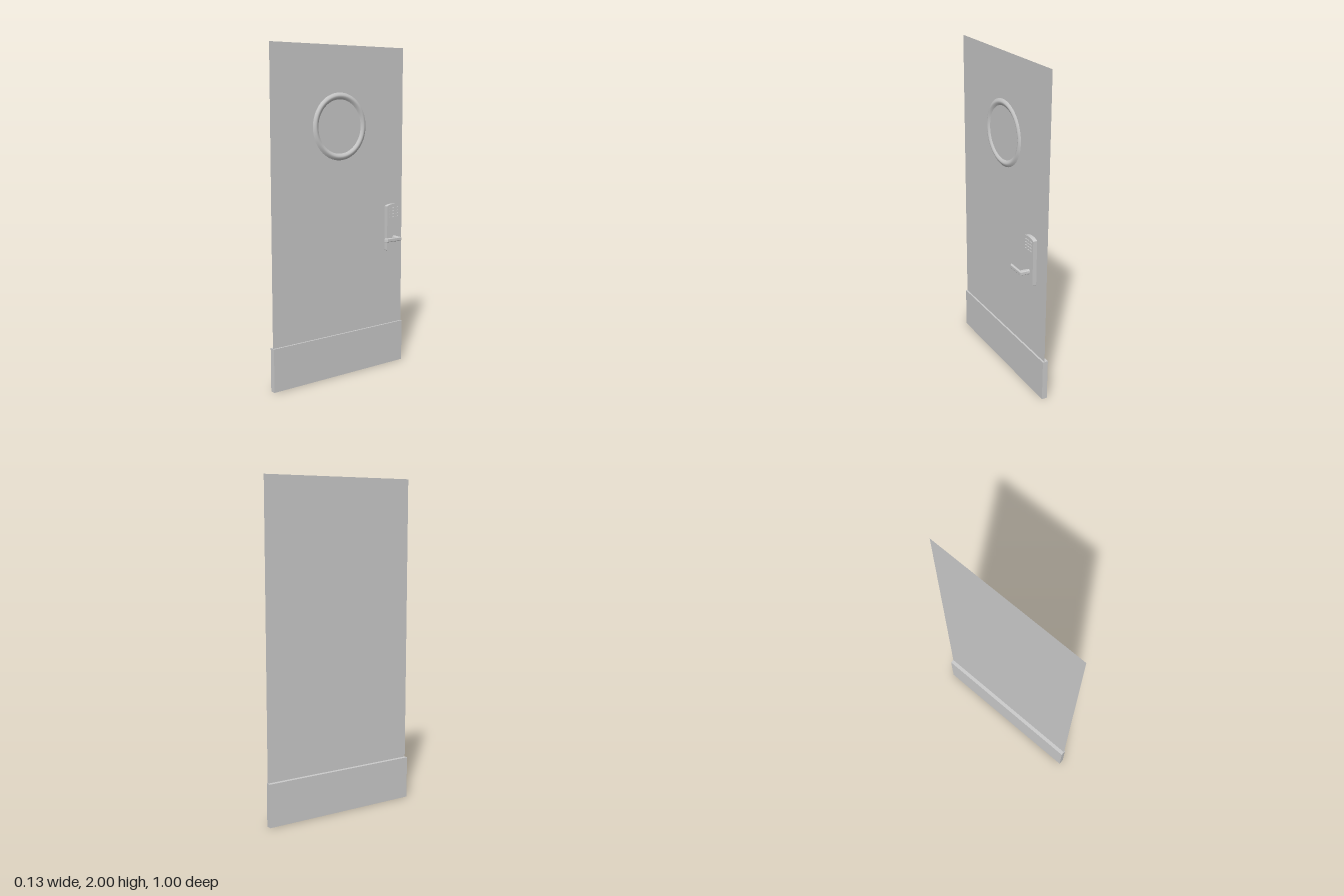
import * as THREE from 'three';

const grey = new THREE.MeshStandardMaterial({ color: 0xcccccc });
const sheetGrey = new THREE.MeshStandardMaterial({ color: 0xcccccc, side: THREE.DoubleSide });

const DOOR_X = -0.047;

function part(name, geometry, x = 0, y = 0, z = 0, material = grey) {
  const mesh = new THREE.Mesh(geometry, material);
  mesh.name = name;
  mesh.position.set(x, y, z);
  return mesh;
}

// Lock plate outline, facing +x, with an arched top and rounded corners
function plateGeometry() {
  const s = new THREE.Shape();
  const w = 0.05, r = 0.006, low = 0.746, high = 1.029;
  s.moveTo(-w + r, low);
  s.lineTo(w - r, low);
  s.quadraticCurveTo(w, low, w, low + r);
  s.lineTo(w, high - r);
  s.quadraticCurveTo(w, high, w - r, high + 0.001);
  s.quadraticCurveTo(0, 1.045, -w + r, high + 0.001);
  s.quadraticCurveTo(-w, high, -w, high - r);
  s.lineTo(-w, low + r);
  s.quadraticCurveTo(-w, low, -w + r, low);
  return new THREE.ExtrudeGeometry(s, { depth: 0.025, bevelEnabled: false, curveSegments: 10 })
    .rotateY(Math.PI / 2);
}

// L-shaped lever seen from above, with rounded upper and lower edges
function leverGeometry() {
  const b = 0.005;
  const outline = [
    [0.004, 0.404], [0.065, 0.397], [0.065, 0.285],
    [0.05, 0.268], [0.05, 0.372], [0.004, 0.376],
  ].map(([x, z]) => new THREE.Vector2(x, z)).reverse();
  return new THREE.ExtrudeGeometry(new THREE.Shape(outline), {
    depth: 0.014, bevelThickness: b, bevelSize: b, bevelOffset: -b, bevelSegments: 4,
  }).rotateX(-Math.PI / 2);
}

export function createModel() {
  const model = new THREE.Group();
  model.name = 'door';

  // Thin door leaf and the thicker kick plate wrapped round its foot
  model.add(part('doorLeaf', new THREE.PlaneGeometry(1, 2).rotateY(Math.PI / 2), DOOR_X, 1, 0, sheetGrey));
  model.add(part('kickPlate', new THREE.BoxGeometry(0.034, 0.26, 1), -0.053, 0.13, 0));

  // Raised round moulding
  const profile = [[0.2, 0], [0.192, 0.005], [0.184, 0.0095], [0.176, 0.0095], [0.168, 0.005], [0.16, 0]]
    .map(([r, h]) => new THREE.Vector2(r, h));
  const ring = new THREE.LatheGeometry(profile, 64).rotateZ(-Math.PI / 2);
  model.add(part('roundMoulding', ring, DOOR_X, 1.525, 0.004));

  // Lock with keypad and lever
  const lock = new THREE.Group();
  lock.name = 'lock';
  lock.add(part('lockPlate', plateGeometry(), -0.02, 0, -0.382));
  const key = new THREE.BoxGeometry(0.01, 0.008, 0.014);
  for (let row = 0; row < 4; row++) {
    for (let col = 0; col < 3; col++) {
      lock.add(part('keypadButton', key, 0.006, 1.013 - row * 0.019, -0.41 + col * 0.027));
    }
  }
  const collar = new THREE.CylinderGeometry(0.013, 0.015, 0.016, 24).rotateZ(-Math.PI / 2);
  lock.add(part('leverCollar', collar, 0.012, 0.823, -0.39));
  lock.add(part('lever', leverGeometry(), 0, 0.816, 0));
  model.add(lock);

  return model;
}
